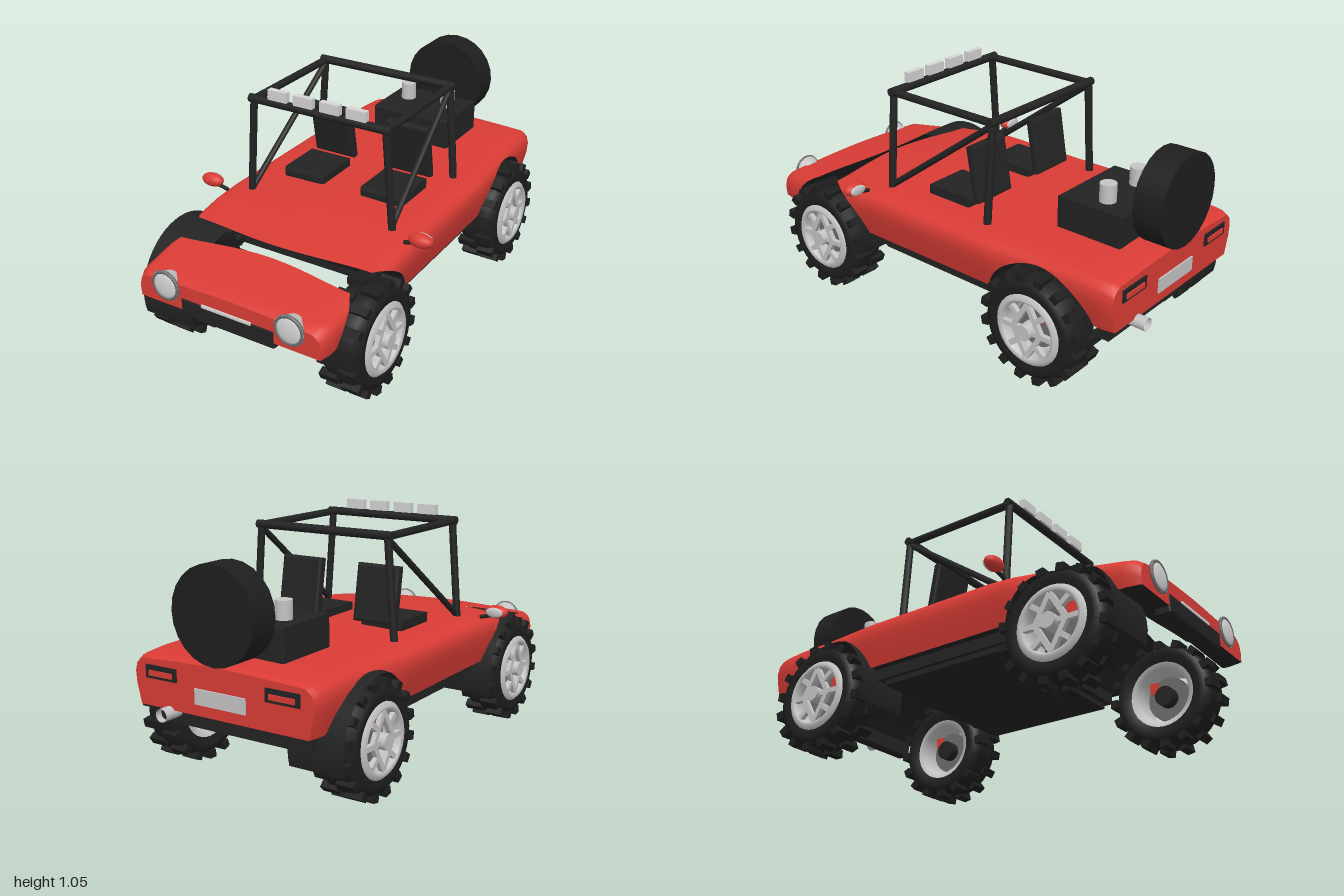
import * as THREE from 'three';

const mat = (name, color, side = THREE.FrontSide) => {
  const m = new THREE.MeshStandardMaterial({ color, side });
  m.name = name;
  return m;
};
const red = mat('red paint', 0xd93c35);
const black = mat('black trim', 0x232323);
const rubber = mat('rubber', 0x1e1e1e);
const silver = mat('silver', 0xc4c4c4, THREE.DoubleSide);
const lens = mat('lamp lens', 0xd4d4d4);
const steel = mat('dark steel', 0x6c6c6c);

const AXLES = [0.63, -0.6], AXLE_Y = 0.25, ARCH_R = 0.27;

const add = (parent, name, geo, material, x = 0, y = 0, z = 0) => {
  const m = new THREE.Mesh(geo, material);
  m.name = name;
  m.position.set(x, y, z);
  parent.add(m);
  return m;
};
const box = (parent, name, material, w, h, d, x, y, z) =>
  add(parent, name, new THREE.BoxGeometry(w, h, d), material, x, y, z);

// Box with softened edges
const softBox = (w, h, d, b = 0.012) => {
  const s = new THREE.Shape(), x = w / 2 - b, y = h / 2 - b;
  s.moveTo(-x, -y).lineTo(x, -y).lineTo(x, y).lineTo(-x, y).closePath();
  return new THREE.ExtrudeGeometry(s, { depth: d - 2 * b, bevelSize: b, bevelThickness: b, bevelSegments: 2 })
    .translate(0, 0, -(d / 2 - b));
};

const bar = (parent, name, a, b, r, material = black) => {
  const va = new THREE.Vector3(...a), d = new THREE.Vector3(...b).sub(va);
  const m = add(parent, name, new THREE.CylinderGeometry(r, r, d.length(), 10), material);
  m.position.copy(va).addScaledVector(d, 0.5);
  m.quaternion.setFromUnitVectors(new THREE.Vector3(0, 1, 0), d.normalize());
  return m;
};

const interp = (table, v) => {
  if (v <= table[0][0]) return table[0][1];
  for (let i = 1; i < table.length; i++) {
    const [a, p] = table[i - 1], [b, q] = table[i];
    if (v <= b) return p + (q - p) * (v - a) / (b - a);
  }
  return table[table.length - 1][1];
};

// Rules that shape the bodywork
const topY = z => interp([[-0.95, 0.53], [-0.92, 0.542], [-0.8, 0.55], [0.3, 0.55], [0.42, 0.542],
  [0.6, 0.518], [0.74, 0.495], [0.95, 0.458], [0.98, 0.44]], z);
const halfW = z => interp([[-0.95, 0.44], [-0.9, 0.455], [-0.6, 0.465], [-0.35, 0.485], [0.4, 0.487],
  [0.6, 0.478], [0.74, 0.462], [0.93, 0.458], [0.98, 0.44]], z);
const sideW = depth => interp([[0, 0.9], [0.008, 0.94], [0.025, 0.98], [0.06, 1], [0.11, 0.99], [0.22, 0.93]], depth);
const bottomY = z => {
  let y = 0.335;
  for (const c of AXLES) {
    const q = ARCH_R ** 2 - (z - c) ** 2;
    if (q > 0) y = Math.max(y, AXLE_Y + Math.sqrt(q));
  }
  return y;
};
const DEPTHS = [0.22, 0.16, 0.11, 0.08, 0.06, 0.04, 0.025, 0.008];
const SPAN = Array.from({ length: 17 }, (_, i) => -1 + i / 8);

function surface(rows) {
  const n = rows[0].length, idx = [];
  for (let v = 0; v < rows.length - 1; v++) for (let i = 0; i < n - 1; i++) {
    const a = v * n + i, b = a + n;
    idx.push(a, b, a + 1, b, b + 1, a + 1);
  }
  return indexed(rows.flat(), idx);
}
function indexed(points, idx) {
  const g = new THREE.BufferGeometry();
  g.setAttribute('position', new THREE.Float32BufferAttribute(points.flat(), 3));
  g.setIndex(idx);
  g.computeVertexNormals();
  return g;
}

// Lofted body piece: painted shell, dark underside with arches, closing end
function bodyPiece(parent, name, zs, warp, frontCap) {
  const shell = [], under = [];
  for (const z of zs) {
    const yT = topY(z), w = halfW(z), yB = Math.min(bottomY(z), yT - 0.001);
    const side = DEPTHS.map(d => {
      const y = Math.max(yT - d, yB);
      return [w * sideW(yT - y), y, z];
    });
    const top = SPAN.map(s => [s * 0.9 * w, yT + 0.014 * (1 - Math.abs(s) ** 1.6), z + warp(s, z)]);
    shell.push([...side.map(([x, y, q]) => [-x, y, q]), ...top, ...side.slice().reverse()]);
    const low = side[0];
    under.push(SPAN.map(s => {
      const zz = z + warp(s, z);
      const ceil = yT + 0.014 * (1 - Math.abs(s) ** 1.6) - 0.001;
      return [-s * low[0], Math.abs(s) === 1 ? low[1] : Math.min(Math.max(bottomY(zz), low[1] - 0.02), ceil), zz];
    }));
  }
  add(parent, name + 'Shell', surface(shell), red);
  add(parent, name + 'Underside', surface(under), black);
  const ring = shell[frontCap ? shell.length - 1 : 0], idx = [];
  for (let i = 1; i < ring.length - 1; i++) idx.push(0, ...(frontCap ? [i + 1, i] : [i, i + 1]));
  add(parent, name + 'EndPanel', indexed(ring, idx), red);
}

function makeWheel() {
  const g = new THREE.Group();
  const lathe = pts => new THREE.LatheGeometry(pts.map(p => new THREE.Vector2(...p)), 32).rotateZ(-Math.PI / 2);
  const disc = (r, h) => new THREE.CylinderGeometry(r, r, h, 24).rotateZ(Math.PI / 2);
  add(g, 'tire', lathe([[0.15, -0.07], [0.185, -0.085], [0.212, -0.078], [0.228, -0.05], [0.23, 0],
    [0.228, 0.05], [0.212, 0.078], [0.185, 0.085], [0.15, 0.075]]), rubber);
  // Two staggered rows of tread blocks
  for (let i = 0; i < 32; i++) {
    const a = i / 32 * Math.PI * 2, geo = new THREE.BoxGeometry(0.08, 0.034, 0.036);
    geo.translate(i % 2 ? 0.042 : -0.046, 0.23, 0).rotateX(a);
    add(g, 'treadBlock', geo, rubber);
  }
  add(g, 'rim', lathe([[0.155, -0.07], [0.125, -0.06], [0.12, 0.06], [0.125, 0.088], [0.14, 0.097], [0.158, 0.08]]), silver);
  // Diamond spokes
  const spoke = (y1, z1, y2, z2) => {
    const l = Math.hypot(y2 - y1, z2 - z1);
    const m = box(g, 'spoke', silver, 0.02, l, 0.022, 0.08, (y1 + y2) / 2, (z1 + z2) / 2);
    m.rotation.x = Math.atan2(z2 - z1, y2 - y1);
  };
  for (const s of [-1, 1]) {
    for (const t of [-1, 1]) {
      spoke(s * 0.122, 0, 0, t * 0.07);
      spoke(s * 0.055, t * 0.04, s * 0.09, t * 0.085);
    }
    spoke(0, s * 0.03, 0, s * 0.125);
  }
  add(g, 'hub', disc(0.034, 0.06), silver, 0.08);
  add(g, 'brakeDisc', disc(0.1, 0.02), steel, 0.01);
  add(g, 'axleStub', disc(0.045, 0.06), black, -0.02);
  box(g, 'brakeCaliper', red, 0.05, 0.05, 0.04, 0.015, 0.06, -0.065);
  return g;
}

export function createModel() {
  const car = new THREE.Group();
  car.name = 'duneBuggy';

  // Bodywork, split across the front arches
  const arc = (c, from, to, n) => Array.from({ length: n + 1 }, (_, i) =>
    c - ARCH_R * Math.cos(from + (to - from) * i / n));
  const zs = [-0.95, -0.935, -0.92, -0.89, ...arc(AXLES[1], 0.1, Math.PI - 0.1, 24), -0.3, -0.1, 0.1, 0.3,
    ...arc(AXLES[0], 0.1, 1.46, 14)];
  const bulge = s => Math.cos(s * Math.PI / 2) ** 1.4;
  bodyPiece(car, 'mainBody', zs, (s, z) => 0.045 * bulge(s) * Math.max(0, (z - 0.3) / 0.3), false);
  bodyPiece(car, 'nose', [0.74, 0.77, 0.8, 0.83, 0.86, 0.885, 0.895, 0.92, 0.95, 0.97, 0.98],
    (s, z) => -0.04 * bulge(s) * Math.max(0, (0.9 - z) / 0.16), true);

  // Floor and valance
  box(car, 'floorPan', black, 0.84, 0.06, 0.68, 0, 0.315, 0.01);
  box(car, 'floorRail', black, 0.8, 0.03, 0.62, 0, 0.277, 0.01);
  box(car, 'rearValance', black, 0.78, 0.07, 0.06, 0, 0.3, -0.875);

  // Wheels, and arch liners on the right side
  for (const z of AXLES) {
    for (const s of [-1, 1]) {
      const w = makeWheel();
      w.name = (z > 0 ? 'front' : 'rear') + (s > 0 ? 'Left' : 'Right') + 'Wheel';
      w.position.set(s * 0.435, AXLE_Y, z);
      if (s < 0) w.rotation.y = Math.PI;
      car.add(w);
    }
    add(car, 'archLiner', new THREE.CylinderGeometry(0.268, 0.268, 0.255, 28, 1, true, -0.28, Math.PI + 0.56)
      .rotateZ(Math.PI / 2), black, -0.383, AXLE_Y, z);
  }

  // Roll cage
  const r = 0.017, zF = 0.31, zR = -0.255;
  for (const s of [-1, 1]) {
    bar(car, 'frontPost', [s * 0.36, 0.54, zF], [s * 0.325, 0.99, zF], r);
    bar(car, 'rearPost', [s * 0.36, 0.54, zR], [s * 0.325, 0.99, zR], r);
    bar(car, 'sideRail', [s * 0.325, 0.99, zF], [s * 0.325, 0.99, zR], r);
    bar(car, 'cageDiagonal', [s * 0.355, 0.56, zF], [s * 0.325, 0.98, zR], 0.014);
  }
  for (const z of [zF, zR]) bar(car, 'crossBar', [-0.346, 0.993, z], [0.346, 0.993, z], r + 0.002);
  for (const x of [-0.193, -0.065, 0.065, 0.193]) box(car, 'roofLamp', lens, 0.093, 0.045, 0.028, x, 1.034, 0.315);

  for (const s of [-1, 1]) {
    // Seats
    add(car, 'seatCushion', softBox(0.21, 0.05, 0.24), black, s * 0.2, 0.575, 0.015);
    add(car, 'seatBack', softBox(0.212, 0.255, 0.042), black, s * 0.2, 0.715, -0.127).rotation.x = 0.17;
    // Headlights
    add(car, 'headlightHousing', new THREE.CylinderGeometry(0.068, 0.046, 0.055, 28).rotateX(Math.PI / 2),
      silver, s * 0.3, 0.425, 0.96);
    add(car, 'headlightRim', new THREE.TorusGeometry(0.061, 0.008, 8, 28), steel, s * 0.3, 0.425, 0.983);
    add(car, 'headlightLens', new THREE.SphereGeometry(0.057, 24, 12).scale(1, 1, 0.2), lens, s * 0.3, 0.425, 0.985);
    // Mirrors
    bar(car, 'mirrorArm', [s * 0.45, 0.548, 0.37], [s * 0.51, 0.562, 0.37], 0.009);
    add(car, 'mirrorShell', new THREE.SphereGeometry(0.055, 20, 14).scale(1, 0.55, 0.6), red, s * 0.528, 0.58, 0.375);
    add(car, 'mirrorGlass', new THREE.SphereGeometry(0.042, 20, 10).scale(1, 0.55, 0.25), silver, s * 0.528, 0.58, 0.35);
    // Tail lights
    box(car, 'tailLightRecess', black, 0.16, 0.055, 0.008, s * 0.3, 0.48, -0.952);
    box(car, 'tailLight', red, 0.12, 0.022, 0.012, s * 0.3, 0.476, -0.956);
    // Intake stacks
    add(car, 'intakeStack', new THREE.CylinderGeometry(0.036, 0.036, 0.09, 20), silver, s * 0.108, 0.735, -0.68);
  }

  // Engine, spare wheel, exhaust
  add(car, 'engineCover', softBox(0.4, 0.16, 0.315, 0.008), black, 0, 0.62, -0.652);
  add(car, 'spareWheel', new THREE.CylinderGeometry(0.2, 0.2, 0.13, 24).rotateX(Math.PI / 2), rubber, 0, 0.755, -0.92);
  add(car, 'exhaust', new THREE.CylinderGeometry(0.028, 0.028, 0.14, 18, 1, true).rotateX(Math.PI / 2),
    silver, 0.265, 0.322, -0.93);
  add(car, 'exhaustCore', new THREE.CylinderGeometry(0.026, 0.026, 0.1, 18).rotateX(Math.PI / 2), black, 0.265, 0.322, -0.92);

  // Bumper and plates
  add(car, 'frontBumper', softBox(0.45, 0.08, 0.07, 0.008), black, 0, 0.35, 0.95);
  box(car, 'frontPlate', lens, 0.24, 0.012, 0.008, 0, 0.389, 0.984);
  box(car, 'rearPlate', silver, 0.25, 0.065, 0.008, 0, 0.415, -0.953);
  return car;
}
